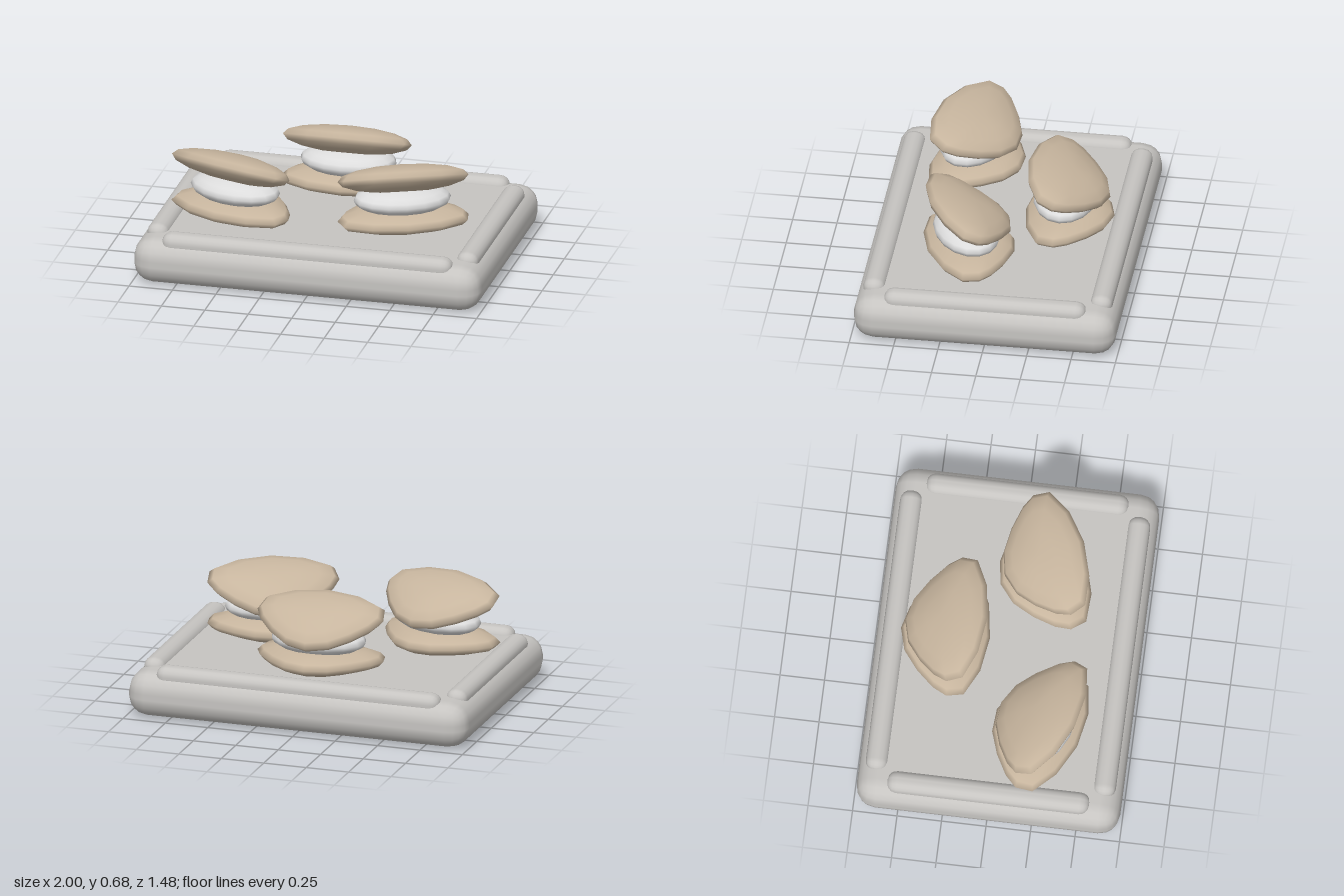
import * as THREE from 'three';
import { mergeVertices } from 'three/addons/utils/BufferGeometryUtils.js';
import { RoundedBoxGeometry } from 'three/addons/geometries/RoundedBoxGeometry.js';

const material = (name, color) => {
  const m = new THREE.MeshStandardMaterial({ color });
  m.name = name;
  return m;
};

// Lens-shaped shell: a fan outline, shrunk ring by ring towards both poles
function shellGeometry(thickness) {
  const half = [[0, 0.25], [0.2, 0.22], [0.35, 0.145], [0.37, 0.05], [0.33, -0.03], [0.24, -0.13], [0.13, -0.215], [0, -0.25]];
  const outline = [...half, ...half.slice(1, -1).reverse().map(([x, z]) => [-x, z])];
  const n = outline.length, rings = 8;
  const positions = [], index = [];
  for (let j = 0; j <= rings; j++) {
    const a = (j / rings - 0.5) * Math.PI;
    const scale = j === 0 || j === rings ? 0 : Math.cos(a);
    for (const [x, z] of outline) positions.push(x * scale, Math.sin(a) * thickness, z * scale);
  }
  for (let j = 0; j < rings; j++) {
    for (let i = 0; i < n; i++) {
      const a = j * n + i, b = j * n + (i + 1) % n, c = b + n, d = a + n;
      if (j > 0) index.push(a, b, c);
      if (j < rings - 1) index.push(a, c, d);
      else if (j === 0) index.push(a, c, d);
    }
  }
  let g = new THREE.BufferGeometry();
  g.setAttribute('position', new THREE.Float32BufferAttribute(positions, 3));
  g.setIndex(index);
  g = mergeVertices(g, 1e-5);
  g.computeVertexNormals();
  return g;
}

export function createModel() {
  const model = new THREE.Group();
  model.name = 'shellTray';
  const stone = material('stone grey', 0xc6c4c1);
  const tan = material('shell tan', 0xc7b59e);
  const white = material('pearl white', 0xdcdcdc);

  const add = (parent, name, geometry, mat, x, y, z) => {
    const mesh = new THREE.Mesh(geometry, mat);
    mesh.name = name;
    mesh.position.set(x, y, z);
    parent.add(mesh);
    return mesh;
  };

  // Tray slab and its four raised rim bars
  add(model, 'tray', new RoundedBoxGeometry(2, 0.262, 1.48, 2, 0.115), stone, 0, 0.131, 0);
  const longBar = new RoundedBoxGeometry(1.67, 0.12, 0.125, 2, 0.056);
  const shortBar = new RoundedBoxGeometry(0.125, 0.12, 1.14, 2, 0.056);
  for (const s of [1, -1]) {
    add(model, s > 0 ? 'frontRim' : 'backRim', longBar, stone, 0, 0.242, s * 0.64);
    add(model, s > 0 ? 'leftRim' : 'rightRim', shortBar, stone, s * 0.89, 0.242, 0);
  }

  // Open shells, each holding a flattened pearl
  const lower = shellGeometry(0.075);
  const upper = shellGeometry(0.08);
  const pearl = new THREE.SphereGeometry(1, 16, 10);
  const places = [
    ['backShell', -0.01, -0.25, 0],
    ['rightShell', -0.54, 0.32, -0.34],
    ['leftShell', 0.455, 0.24, 0.41],
  ];
  for (const [name, x, z, turn] of places) {
    const clam = new THREE.Group();
    clam.name = name;
    clam.position.set(x, 0, z);
    clam.rotation.y = turn;
    add(clam, 'lowerShell', lower, tan, 0, 0.337, -0.1);
    add(clam, 'pearl', pearl, white, 0, 0.445, -0.075).scale.set(0.275, 0.08, 0.18);
    add(clam, 'upperShell', upper, tan, 0, 0.555, -0.095).rotation.x = -0.4;
    model.add(clam);
  }
  return model;
}
